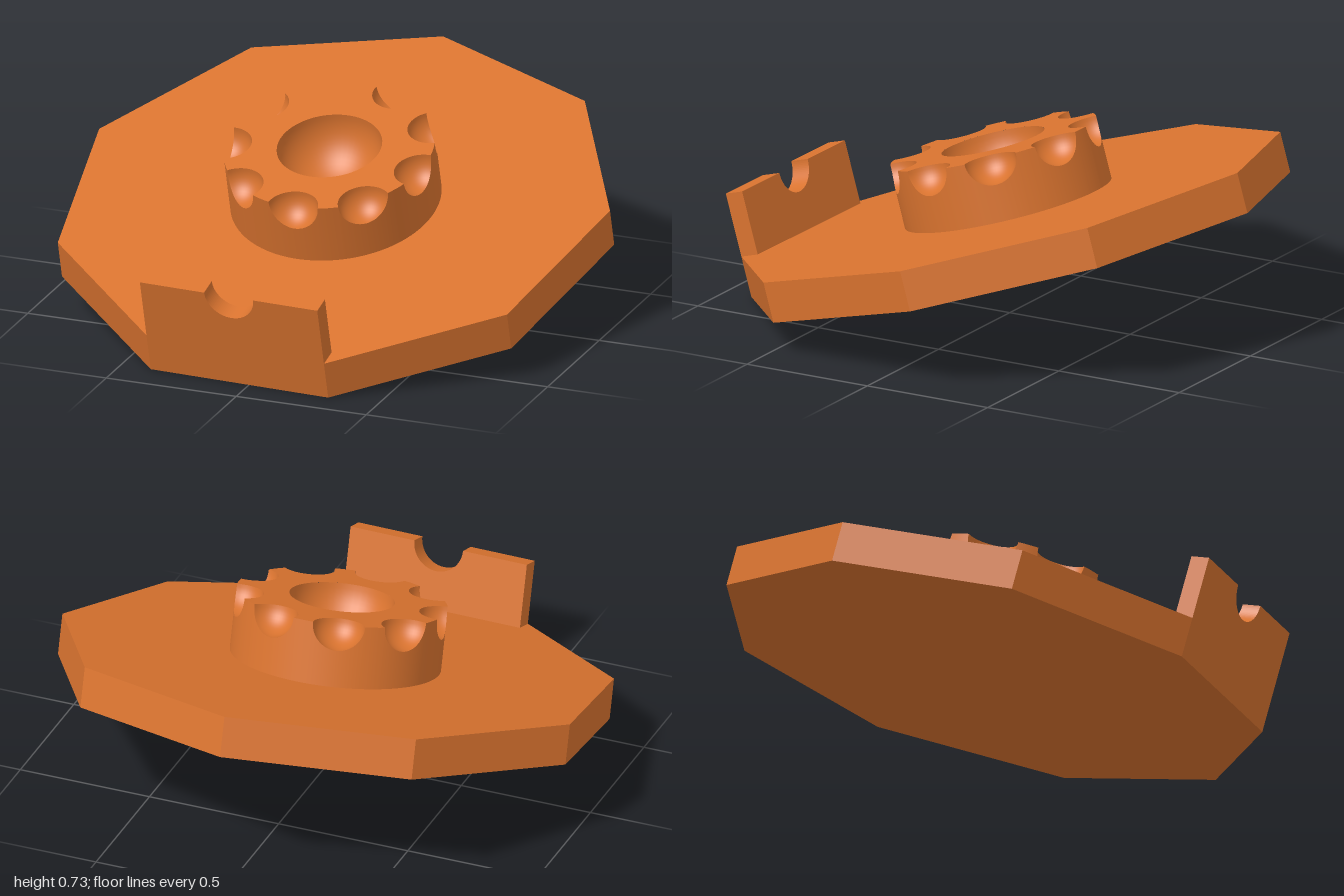
import * as THREE from 'three';

const R = 0.38, H = 0.23;          // hub radius and height
const NOTCH = 0.095, BOWL = 0.19;  // scoop and bowl radii
const PLATE = 1.009, THICK = 0.15; // base plate
const COUNT = 9, STEP = (Math.PI * 2) / COUNT;

// Surface from rows of points; point(i, j) returns [x, y, z]
function grid(nu, nv, point) {
  const pos = [], index = [], row = nu + 1;
  for (let j = 0; j <= nv; j++) for (let i = 0; i <= nu; i++) pos.push(...point(i, j));
  for (let j = 0; j < nv; j++) {
    for (let i = 0; i < nu; i++) {
      const a = j * row + i;
      index.push(a, a + 1, a + row, a + 1, a + row + 1, a + row);
    }
  }
  const geo = new THREE.BufferGeometry();
  geo.setAttribute('position', new THREE.Float32BufferAttribute(pos, 3));
  geo.setIndex(index);
  geo.computeVertexNormals();
  return geo;
}

export function createModel() {
  const clay = new THREE.MeshStandardMaterial({ color: 0xd9732f });
  clay.name = 'burnt orange';
  const mesh = (name, geo, parent) => {
    const m = new THREE.Mesh(geo, clay);
    m.name = name;
    parent.add(m);
    return m;
  };

  const model = new THREE.Group();
  model.name = 'tiltedDial';
  const tilt = new THREE.Group();
  tilt.name = 'tiltedAssembly';
  tilt.rotation.x = THREE.MathUtils.degToRad(16);
  tilt.position.set(-0.008, 0.264, -0.03);
  model.add(tilt);

  // Nine-sided plate and its rear-facing corner, turned slightly
  const base = new THREE.Group();
  base.name = 'base';
  base.rotation.y = THREE.MathUtils.degToRad(-1.6);
  tilt.add(base);
  const plateGeo = new THREE.CylinderGeometry(PLATE, PLATE, THICK, COUNT).rotateY(Math.PI).toNonIndexed();
  plateGeo.computeVertexNormals();
  mesh('plate', plateGeo, base).position.y = THICK / 2;

  // Front wall with a round notch in its top edge
  const half = PLATE * Math.sin(STEP / 2), wallH = 0.235, wallD = 0.072;
  const wallShape = new THREE.Shape();
  wallShape.moveTo(-half, 0);
  wallShape.lineTo(half, 0);
  wallShape.lineTo(half, wallH);
  wallShape.lineTo(NOTCH, wallH);
  wallShape.absarc(0, wallH, NOTCH, 0, -Math.PI, true);
  wallShape.lineTo(-half, wallH);
  wallShape.closePath();
  const wallGeo = new THREE.ExtrudeGeometry(wallShape, { depth: wallD, bevelEnabled: false, curveSegments: 24 });
  mesh('frontWall', wallGeo, base).position.set(0, THICK, PLATE * Math.cos(STEP / 2) - wallD);

  // Hub: round drum with scooped rim and a central bowl
  const hub = new THREE.Group();
  hub.name = 'hub';
  hub.position.y = THICK;
  tilt.add(hub);

  // Rim samples: angle and height of the drum's upper edge
  const rim = [], edge = 2 * Math.asin(NOTCH / (2 * R));
  for (let k = 0; k < COUNT; k++) {
    for (let s = 0; s <= 24; s++) {
      const t = (s / 24) * Math.PI;
      rim.push([k * STEP - 2 * Math.asin((NOTCH * Math.cos(t)) / (2 * R)), H - NOTCH * Math.sin(t)]);
    }
    for (let s = 1; s < 5; s++) rim.push([k * STEP + edge + (s / 5) * (STEP - 2 * edge), H]);
  }
  rim.push([rim[0][0] + Math.PI * 2, H]);
  mesh('drumSide', grid(rim.length - 1, 1, (i, j) => {
    const [a, y] = rim[i];
    return [R * Math.sin(a), j ? y : 0, R * Math.cos(a)];
  }), hub);

  // Drum top with scalloped outline and bowl opening
  const outline = [], reach = Math.acos(NOTCH / (2 * R));
  for (let k = 0; k < COUNT; k++) {
    const a = k * STEP, c = Math.cos(a), s = Math.sin(a);
    for (let i = 0; i <= 24; i++) {
      const b = reach * (i / 12 - 1);
      const x = NOTCH * Math.sin(b), z = R - NOTCH * Math.cos(b);
      outline.push(new THREE.Vector2(x * c + z * s, x * s - z * c));
    }
    for (let i = 1; i < 5; i++) {
      const p = a + edge + (i / 5) * (STEP - 2 * edge);
      outline.push(new THREE.Vector2(R * Math.sin(p), -R * Math.cos(p)));
    }
  }
  const topShape = new THREE.Shape(outline);
  topShape.holes.push(new THREE.Path().absarc(0, 0, BOWL, 0, Math.PI * 2, true));
  mesh('drumTop', new THREE.ShapeGeometry(topShape, 48).rotateX(-Math.PI / 2), hub).position.y = H;

  // Spherical scoops around the rim
  const scoopGeo = grid(24, 12, (i, j) => {
    const t = (1 - j / 12) * Math.PI / 2, r = NOTCH * Math.cos(t);
    const b = Math.acos(r / (2 * R)) * (i / 12 - 1);
    return [r * Math.sin(b), H - NOTCH * Math.sin(t), R - r * Math.cos(b)];
  });
  for (let k = 0; k < COUNT; k++) mesh('rimScoop', scoopGeo, hub).rotation.y = k * STEP;

  // Hemispherical bowl
  const profile = [];
  for (let i = 0; i <= 16; i++) {
    const t = (i / 16) * Math.PI / 2;
    profile.push(new THREE.Vector2(BOWL * Math.cos(t), H - BOWL * Math.sin(t)));
  }
  mesh('bowl', new THREE.LatheGeometry(profile, 48), hub);

  return model;
}
